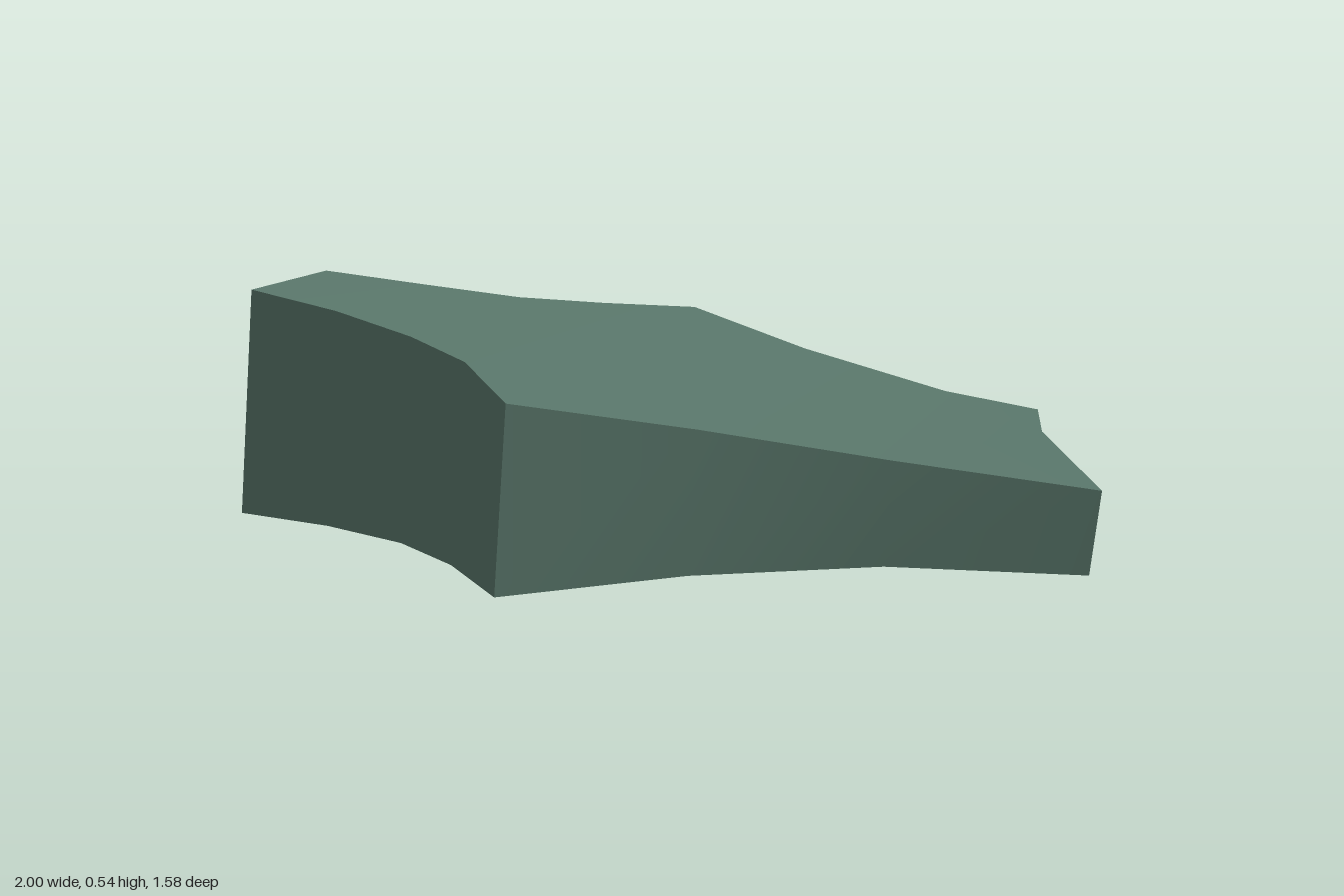
import * as THREE from 'three';
import { toCreasedNormals } from 'three/addons/utils/BufferGeometryUtils.js';

// Paired cross-sections along x: [topX, topY, bottomX, bottomY, nearZ, farZ]
const stations = [
  [-0.955, 0.545, -1.0, 0.012, 0.21, -0.217],
  [-0.72, 0.51, -0.755, 0.008, 0.27, -0.28],
  [-0.5, 0.472, -0.535, 0.004, 0.37, -0.38],
  [-0.32, 0.445, -0.36, 0.002, 0.523, -0.53],
  [-0.14, 0.408, -0.17, 0.012, 0.787, -0.793],
  [0.2, 0.335, 0.18, 0.028, 0.585, -0.595],
  [0.58, 0.262, 0.565, 0.037, 0.445, -0.454],
];
// The skewed end: long near corner, short far corner, notch between them on top
const end = {
  nearTop: [1.0, 0.205, 0.368], nearBottom: [0.98, 0.025, 0.368],
  farTop: [0.81, 0.234, -0.407], farBottom: [0.77, 0.031, -0.407],
  notch: [0.84, 0.228, -0.145],
};

function slabGeometry() {
  const positions = [];
  const tri = (...corners) => corners.forEach((p) => positions.push(...p));
  const quad = (a, b, c, d) => { tri(a, b, c); tri(a, c, d); };

  const rows = stations.map(([tx, ty, bx, by, nz, fz]) => ({
    nearTop: [tx, ty, nz], nearBottom: [bx, by, nz],
    farTop: [tx, ty, fz], farBottom: [bx, by, fz],
  }));
  rows.push(end);

  for (let i = 0; i < rows.length - 1; i++) {
    const a = rows[i], b = rows[i + 1];
    quad(a.nearBottom, b.nearBottom, b.nearTop, a.nearTop); // near wall
    quad(b.farBottom, a.farBottom, a.farTop, b.farTop); // far wall
    quad(a.farBottom, b.farBottom, b.nearBottom, a.nearBottom); // underside
    if (b !== end) quad(a.nearTop, b.nearTop, b.farTop, a.farTop); // top
  }

  // Top at the notched end
  const last = rows[rows.length - 2];
  tri(last.farTop, last.nearTop, end.notch);
  tri(last.nearTop, end.nearTop, end.notch);
  tri(last.farTop, end.notch, end.farTop);

  // Notched end wall
  tri(end.nearBottom, end.farBottom, end.notch);
  tri(end.nearBottom, end.notch, end.nearTop);
  tri(end.farBottom, end.farTop, end.notch);

  // Tall end wall
  const first = rows[0];
  quad(first.farBottom, first.nearBottom, first.nearTop, first.farTop);

  const geometry = new THREE.BufferGeometry();
  geometry.setAttribute('position', new THREE.Float32BufferAttribute(positions, 3));
  return toCreasedNormals(geometry, Math.PI / 6);
}

export function createModel() {
  const group = new THREE.Group();
  group.name = 'taperedSlab';
  const greyGreen = new THREE.MeshStandardMaterial({ color: 0x587569 });
  greyGreen.name = 'greyGreen';
  const slab = new THREE.Mesh(slabGeometry(), greyGreen);
  slab.name = 'slab';
  group.add(slab);
  return group;
}
